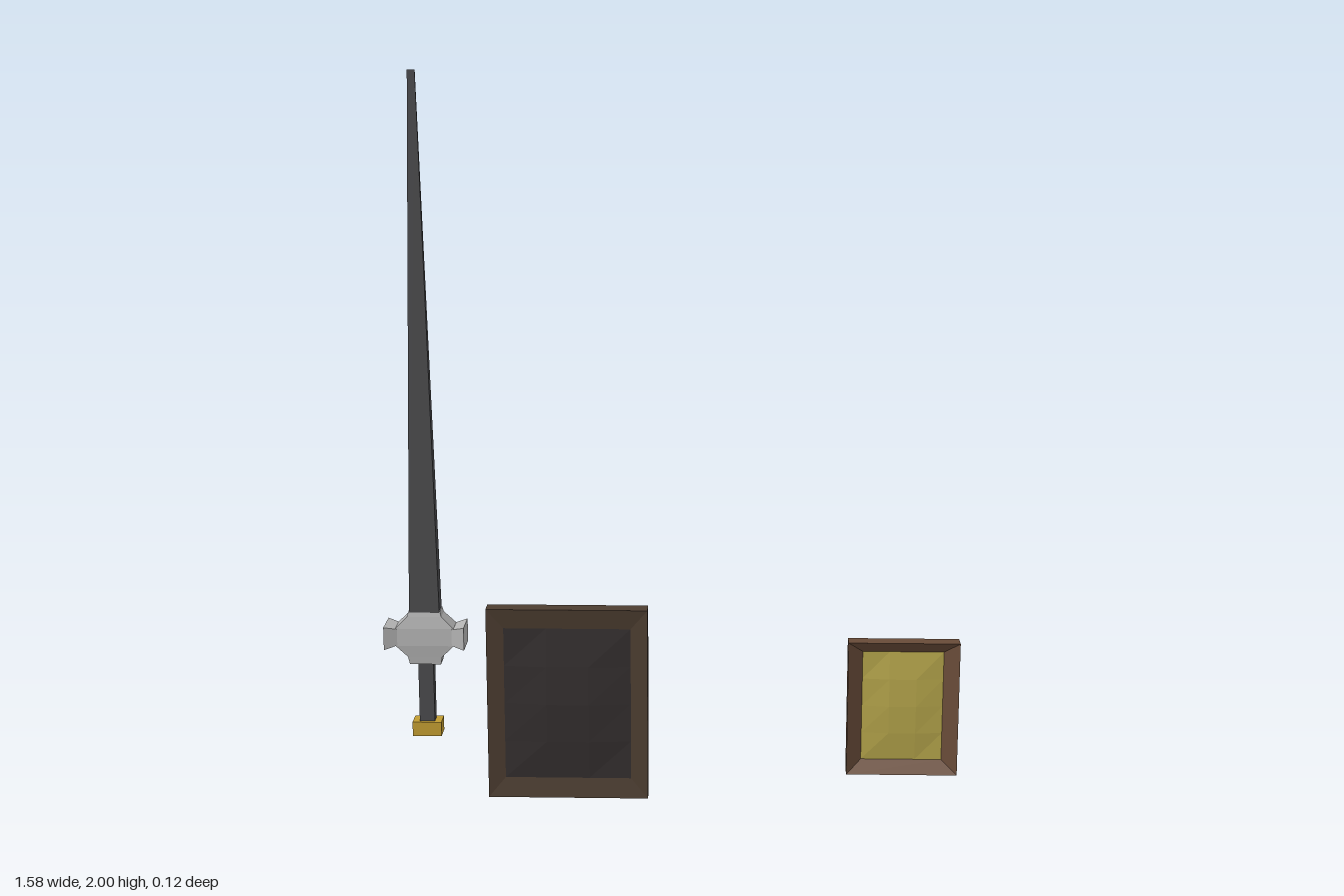
import * as THREE from 'three';

const mat = (color) => new THREE.MeshStandardMaterial({ color, flatShading: true, side: THREE.DoubleSide });
const steel = mat(0x4a4a4c), silver = mat(0xb4b4b4), gold = mat(0xc09a30), iron = mat(0x48494a);

// Rectangular loft along +z from sections [halfWidth, halfHeight, z], optionally capped
function loft(sections, capped = true) {
  const pos = [], index = [];
  for (const [w, h, z] of sections) pos.push(-w, -h, z, w, -h, z, w, h, z, -w, h, z);
  for (let s = 0; s < sections.length - 1; s++) {
    for (let i = 0; i < 4; i++) {
      const a = s * 4 + i, b = s * 4 + (i + 1) % 4;
      index.push(a, b, b + 4, a, b + 4, a + 4);
    }
  }
  if (capped) {
    const t = (sections.length - 1) * 4;
    index.push(0, 2, 1, 0, 3, 2, t, t + 1, t + 2, t, t + 2, t + 3);
  }
  const g = new THREE.BufferGeometry();
  g.setAttribute('position', new THREE.Float32BufferAttribute(pos, 3));
  g.setIndex(index);
  const flat = g.toNonIndexed();
  flat.computeVertexNormals();
  return flat;
}

function add(parent, name, geometry, material, x = 0, y = 0, z = 0) {
  const mesh = new THREE.Mesh(geometry, material);
  mesh.name = name;
  mesh.position.set(x, y, z);
  parent.add(mesh);
  return mesh;
}

// Faceted panel, slightly raised in the middle
function domedPanel(w, h, rise) {
  const g = new THREE.PlaneGeometry(w, h, 3, 4);
  const p = g.attributes.position;
  for (let i = 0; i < p.count; i++) {
    const u = 2 * p.getX(i) / w, v = 2 * p.getY(i) / h;
    p.setZ(i, rise * (1 - u * u) * (1 - v * v));
  }
  g.computeVertexNormals();
  return g;
}

// Chamfered rectangle outline from depth d0 to d1
function outline(path, d0, d1, h, c) {
  path.moveTo(d0, -h);
  path.lineTo(d1 - c, -h);
  path.lineTo(d1, -h + c);
  path.lineTo(d1, h - c);
  path.lineTo(d1 - c, h);
  path.lineTo(d0, h);
  path.closePath();
  return path;
}

// D-shaped grip standing out towards -z
function gripGeometry(depth, h, bar, width) {
  const shape = outline(new THREE.Shape(), 0, depth, h, 0.018);
  shape.holes.push(outline(new THREE.Path(), bar * 0.7, depth - bar, h - bar, 0.006));
  const g = new THREE.ExtrudeGeometry(shape, { depth: width, bevelEnabled: false });
  g.translate(0, 0, -width / 2);
  return g.rotateY(Math.PI / 2);
}

function createSword() {
  const sword = new THREE.Group();
  sword.name = 'sword';
  const upright = (sections) => loft(sections).rotateX(-Math.PI / 2);

  add(sword, 'blade', upright([[0.042, 0.025, 0.52], [0.01, 0.002, 2]]), steel);
  add(sword, 'grip', upright([[0.021, 0.017, 0.21], [0.021, 0.017, 0.4]]), steel);
  add(sword, 'pommel', upright([[0.04, 0.027, 0.18], [0.04, 0.027, 0.22]]), gold);

  // Octagonal guard with flared wings
  add(sword, 'guard', upright([
    [0.043, 0.024, 0.388], [0.047, 0.027, 0.41], [0.08, 0.032, 0.443],
    [0.08, 0.032, 0.492], [0.047, 0.027, 0.525], [0.043, 0.024, 0.54],
  ]), silver);
  for (const side of [-1, 1]) {
    const wing = loft([[0.03, 0.022, 0.07], [0.046, 0.032, 0.11]]).rotateY(side * Math.PI / 2);
    add(sword, side > 0 ? 'leftGuardWing' : 'rightGuardWing', wing, silver, 0, 0.467);
  }
  sword.position.set(-0.68, 0, 0.012);
  return sword;
}

function createShield(o) {
  const shield = new THREE.Group();
  shield.name = o.name;
  const [iw, ih] = [o.w - o.rimX, o.h - o.rimY];

  // Bevelled rim with mitred corners
  add(shield, 'rim', loft([
    [iw, ih, o.back + o.backRecess], [o.w, o.h, o.back],
    [o.w, o.h, o.front], [iw, ih, o.front - o.recess],
  ], false), mat(o.rimColor));

  add(shield, 'frontPanel', domedPanel(iw * 2, ih * 2, o.rise), mat(o.panelColor), 0, 0, o.front - o.recess);
  const back = add(shield, 'backPanel', new THREE.PlaneGeometry(iw * 2, ih * 2), mat(o.backColor), 0, 0, o.back + o.backRecess);
  back.rotation.y = Math.PI;

  // Pair of grips on the back
  for (const side of [-1, 1]) {
    const grip = add(shield, side > 0 ? 'leftGrip' : 'rightGrip',
      gripGeometry(o.gripDepth, o.gripH, o.gripBar, o.gripW), iron,
      o.gripX + side * o.gripGap, o.gripY, o.back + o.backRecess);
    grip.rotation.y = -side * o.gripTilt;
  }
  shield.position.set(o.x, o.y, 0);
  return shield;
}

export function createModel() {
  const model = new THREE.Group();
  model.name = 'swordAndShields';
  model.add(createSword());
  model.add(createShield({
    name: 'largeShield', x: -0.29, y: 0.273, w: 0.222, h: 0.273, rimX: 0.047, rimY: 0.056,
    back: -0.015, front: 0.034, recess: 0.009, backRecess: 0.007, rise: 0.014,
    rimColor: 0x4c3d30, panelColor: 0x332e2e, backColor: 0x3a3432,
    gripDepth: 0.054, gripH: 0.078, gripBar: 0.018, gripW: 0.029,
    gripX: 0, gripY: 0.003, gripGap: 0.04, gripTilt: 0.08,
  }));
  model.add(createShield({
    name: 'smallShield', x: 0.633, y: 0.275, w: 0.152, h: 0.19, rimX: 0.041, rimY: 0.034,
    back: 0.008, front: 0.052, recess: 0.032, backRecess: 0, rise: 0.012,
    rimColor: 0x684b38, panelColor: 0xb3a34a, backColor: 0x684b38,
    gripDepth: 0.052, gripH: 0.065, gripBar: 0.014, gripW: 0.02,
    gripX: 0, gripY: 0, gripGap: 0.034, gripTilt: 0,
  }));
  return model;
}
